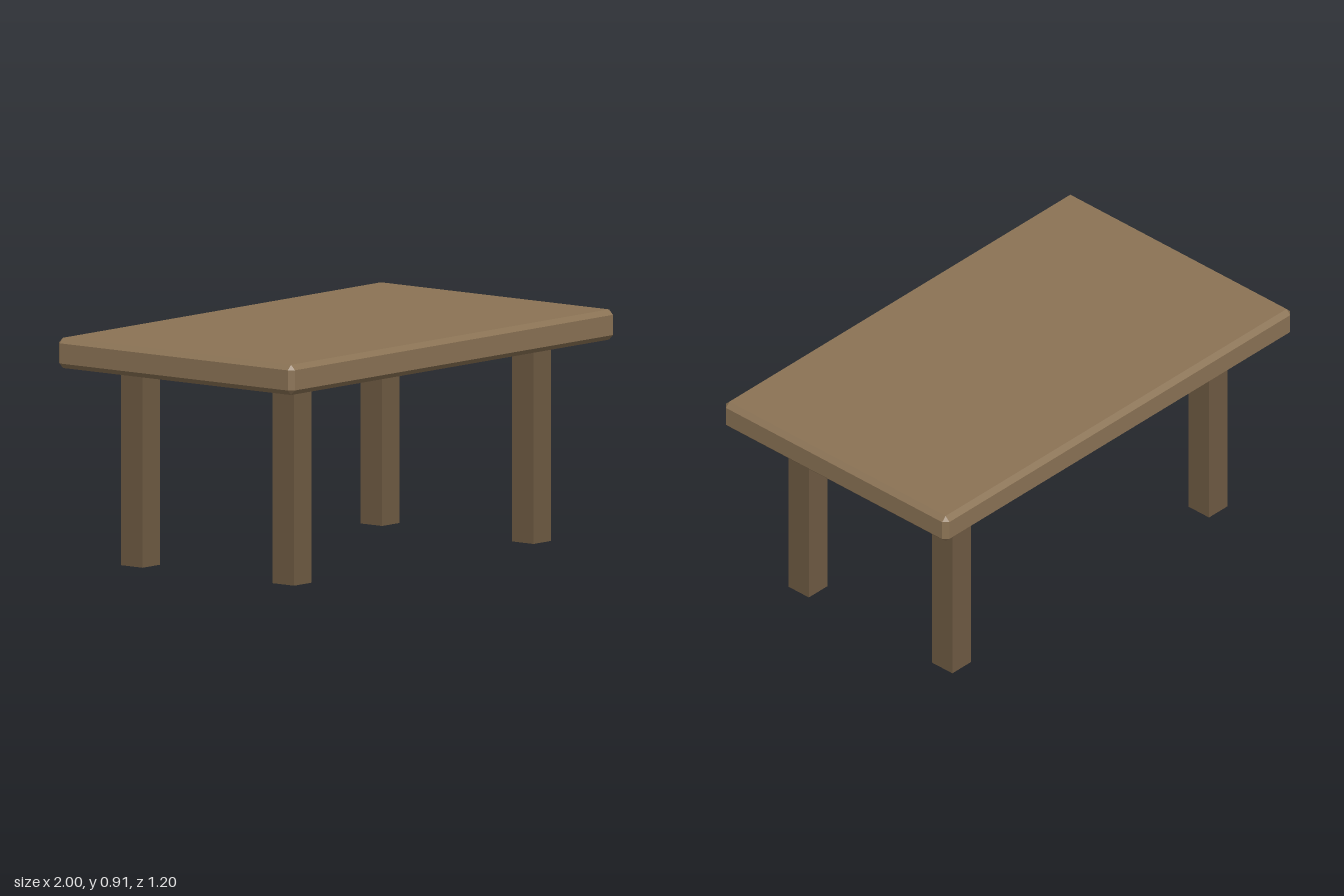
import * as THREE from 'three';
import { ConvexGeometry } from 'three/addons/geometries/ConvexGeometry.js';

// Box with every edge chamfered by b; flat faces
function chamferedBox(w, h, d, b) {
  const points = [];
  const [x, y, z] = [w / 2, h / 2, d / 2];
  for (const sx of [-1, 1]) for (const sy of [-1, 1]) for (const sz of [-1, 1]) {
    points.push(
      new THREE.Vector3(sx * x, sy * (y - b), sz * (z - b)),
      new THREE.Vector3(sx * (x - b), sy * y, sz * (z - b)),
      new THREE.Vector3(sx * (x - b), sy * (y - b), sz * z)
    );
  }
  return new ConvexGeometry(points);
}

export function createModel() {
  const table = new THREE.Group();
  table.name = 'table';
  const topMaterial = new THREE.MeshStandardMaterial({ color: 0x8b7355 });
  const legMaterial = new THREE.MeshStandardMaterial({ color: 0x6f5b43 });

  // Table top
  const top = new THREE.Mesh(chamferedBox(2, 0.12, 1.2, 0.02), topMaterial);
  top.name = 'tableTop';
  top.position.y = 0.85;
  table.add(top);

  // Four square legs
  const legGeometry = new THREE.BoxGeometry(0.107, 0.79, 0.11);
  for (const sx of [-1, 1]) for (const sz of [-1, 1]) {
    const leg = new THREE.Mesh(legGeometry, legMaterial);
    leg.name = (sz > 0 ? 'front' : 'back') + (sx > 0 ? 'Left' : 'Right') + 'Leg';
    leg.position.set(sx * 0.738, 0.395, sz * 0.385);
    table.add(leg);
  }
  return table;
}
